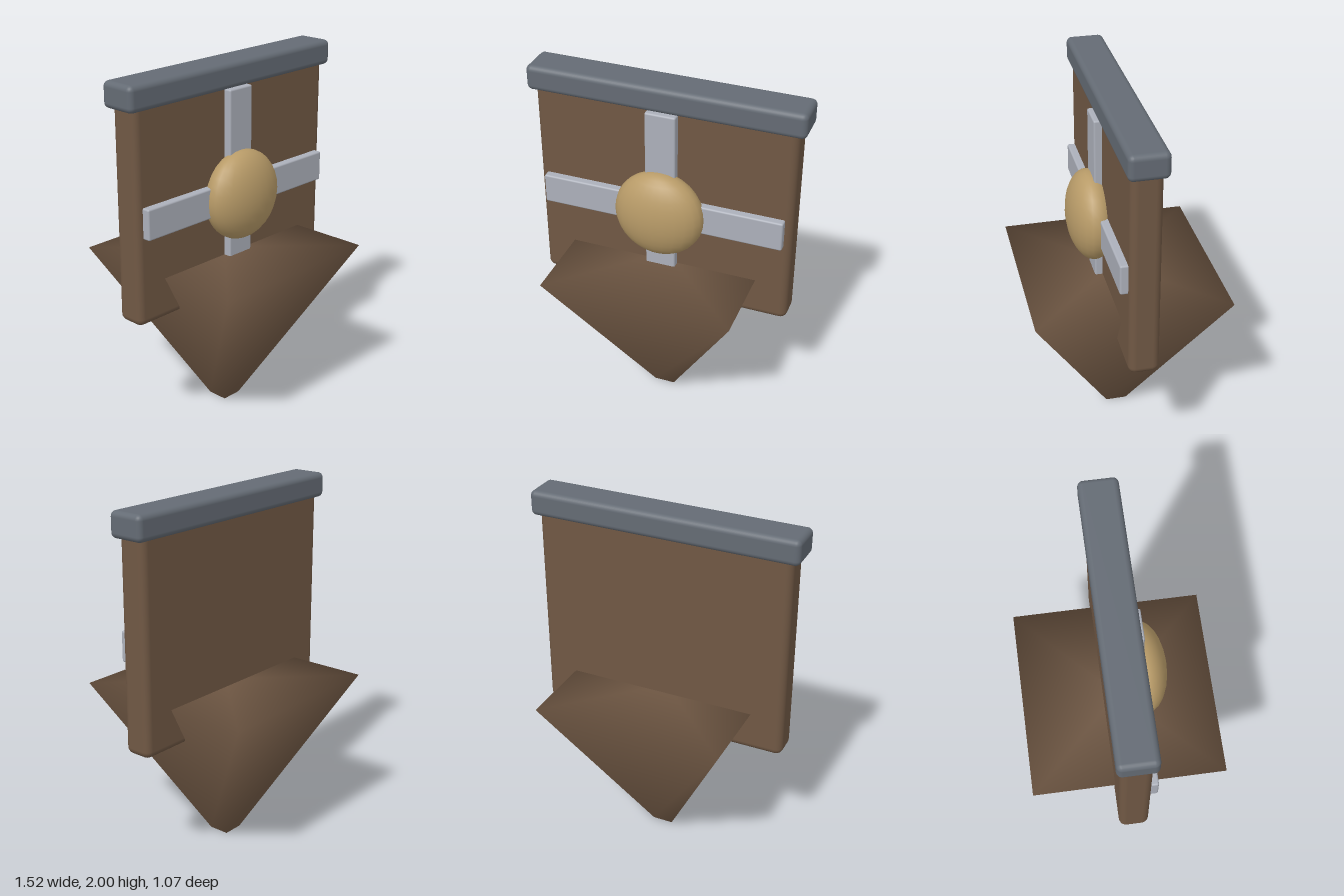
import * as THREE from 'three';
import { mergeVertices } from 'three/addons/utils/BufferGeometryUtils.js';
import { RoundedBoxGeometry } from 'three/addons/geometries/RoundedBoxGeometry.js';

function material(name, color) {
  const m = new THREE.MeshStandardMaterial({ color });
  m.name = name;
  return m;
}

export function createModel() {
  const group = new THREE.Group();
  const wood = material('brown wood', 0x705844);
  const iron = material('dark iron', 0x646b74);
  const steel = material('light steel', 0xacb0ba);
  const brass = material('brass', 0xb89b68);

  const add = (name, geometry, mat, x, y, z) => {
    const mesh = new THREE.Mesh(geometry, mat);
    mesh.name = name;
    mesh.position.set(x, y, z);
    group.add(mesh);
    return mesh;
  };
  const box = (w, h, d, r) => new RoundedBoxGeometry(w, h, d, 3, r);

  // Upright board with its heavy top rail
  add('board', box(1.44, 1.24, 0.165, 0.04), wood, 0, 1.32, 0);
  add('topRail', box(1.52, 0.14, 0.21, 0.03), iron, 0, 1.93, 0);

  // Crossed straps on the front
  add('verticalStrap', box(0.17, 1.17, 0.08, 0.01), steel, 0, 1.28, 0.085);
  add('horizontalStrap', box(1.36, 0.17, 0.08, 0.01), steel, 0, 1.275, 0.085);

  // Flattened boss over the crossing
  const boss = add('boss', new THREE.SphereGeometry(0.25, 24, 16), brass, 0, 1.275, 0.13);
  boss.scale.z = 0.54;

  // Four-sided tapered point, its corners shared so it shades smoothly
  let point = new THREE.CylinderGeometry(0.759, 0.083, 0.93, 4);
  point.rotateY(Math.PI / 4);
  point.deleteAttribute('normal');
  point.deleteAttribute('uv');
  point = mergeVertices(point, 1e-3);
  point.computeVertexNormals();
  add('taperedPoint', point, wood, 0, 0.465, 0);

  return group;
}
